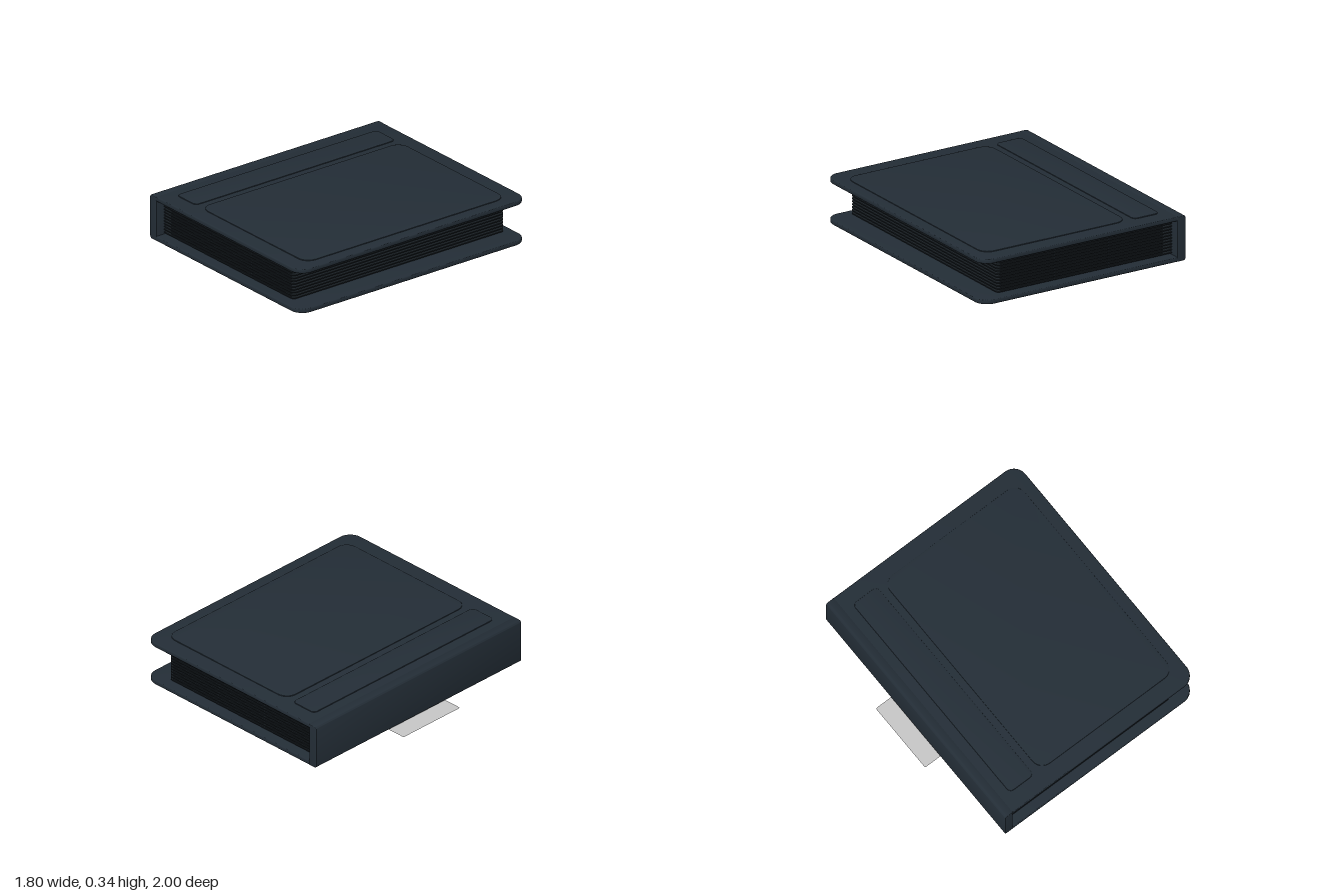
import * as THREE from 'three';
import { toCreasedNormals } from 'three/addons/utils/BufferGeometryUtils.js';

// Rectangle outline with separate left and right corner radii
function outline(x0, x1, y0, y1, rl, rr) {
  const s = new THREE.Shape();
  s.moveTo(x0 + rl, y0);
  s.lineTo(x1 - rr, y0);
  s.absarc(x1 - rr, y0 + rr, rr, -Math.PI / 2, 0);
  s.absarc(x1 - rr, y1 - rr, rr, 0, Math.PI / 2);
  s.lineTo(x0 + rl, y1);
  s.absarc(x0 + rl, y1 - rl, rl, Math.PI / 2, Math.PI);
  s.absarc(x0 + rl, y0 + rl, rl, Math.PI, Math.PI * 1.5);
  return s;
}

// Extrude an outline with a rounded rim of size b
function slab(shape, depth, b) {
  const g = new THREE.ExtrudeGeometry(shape, {
    depth: depth - 2 * b, bevelEnabled: b > 0, bevelThickness: b, bevelSize: b,
    bevelOffset: -b, bevelSegments: 3, curveSegments: 10,
  });
  g.translate(0, 0, b);
  return toCreasedNormals(g, 0.6);
}

export function createModel() {
  const model = new THREE.Group();
  const coverMat = new THREE.MeshStandardMaterial({ color: 0x232d36 });
  const pageMat = new THREE.MeshStandardMaterial({ color: 0x181e23 });
  const labelMat = new THREE.MeshStandardMaterial({ color: 0xc6c6c6, side: THREE.DoubleSide });

  const add = (name, geo, mat, y = 0, parent = model) => {
    const m = new THREE.Mesh(geo, mat);
    m.name = name;
    m.position.y = y;
    parent.add(m);
    return m;
  };
  const flat = (shape, h, b) => slab(shape, h, b).rotateX(-Math.PI / 2);

  // Two boards with rounded fore-edge corners
  const board = flat(outline(-0.71, 0.9, -1, 1, 0.012, 0.1), 0.034, 0.008);
  add('bottomCover', board, coverMat, 0.002);
  add('topCover', board, coverMat, 0.301);

  // Spine with rounded outer edges
  const spine = slab(outline(-0.77, -0.7, 0.002, 0.335, 0.022, 0.004), 2, 0.006);
  spine.translate(0, 0, -1);
  add('spine', spine, coverMat);

  // Raised panels on the top cover
  add('narrowPanel', flat(outline(-0.63, -0.42, -0.875, 0.88, 0.035, 0.035), 0.008, 0.002), coverMat, 0.333);
  add('widePanel', flat(outline(-0.365, 0.81, -0.875, 0.88, 0.085, 0.085), 0.008, 0.002), coverMat, 0.333);

  // Stack of thin pages, each with a three by three grid of filled pockets
  const pages = new THREE.Group();
  pages.name = 'pages';
  model.add(pages);
  const sheet = flat(outline(-0.71, 0.735, -0.93, 0.93, 0.005, 0.03), 0.008, 0);
  const pocket = new THREE.BoxGeometry(0.435, 0.0175, 0.605);
  const count = 12;
  for (let i = 0; i < count; i++) {
    const y = 0.05 + (i * 0.238) / (count - 1);
    add('page', sheet, pageMat, y - 0.004, pages);
    for (let c = -1; c <= 1; c++) {
      for (let r = -1; r <= 1; r++) {
        const p = add('pocket', pocket, pageMat, y, pages);
        p.position.x = 0.035 + c * 0.447;
        p.position.z = r * 0.618;
      }
    }
  }

  // Pale label sticking out under the spine
  const label = new THREE.ShapeGeometry(outline(-0.9, -0.51, -0.273, 0.278, 0.012, 0.012));
  add('label', label.rotateX(-Math.PI / 2), labelMat, 0);

  return model;
}
